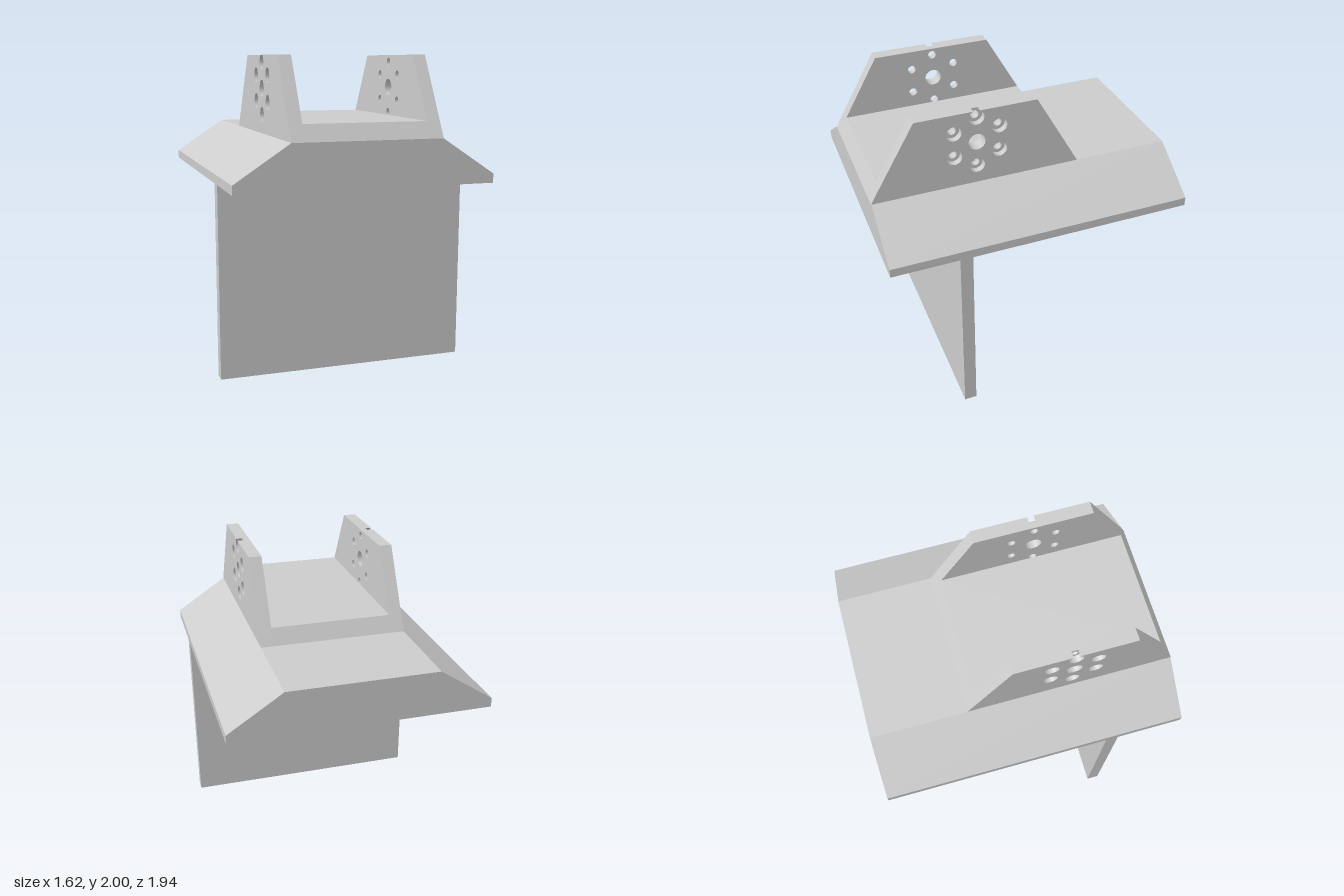
import * as THREE from 'three';

const material = new THREE.MeshStandardMaterial({ color: 0xcccccc, flatShading: true });

// Bracket side profile: front and back edges slope inwards towards the top
const BASE_Y = 1.51, FLOOR_Y = 1.61, TOP_Y = 2;
const frontZ = (y) => 0.97 - (y - BASE_Y) * (0.285 / 0.49);
const backZ = (y) => -0.355 + (y - BASE_Y) * (0.285 / 0.49);

// Bolt pattern
const HUB_Z = 0.308, HUB_Y = 1.793, HUB_R = 0.053, RING_R = 0.164;
const BOLT_R = 0.026, BORE_R = 0.0475;

// Extrude a (-z, y) outline along x, starting at x0
function extrudeX(shape, x0, width, name) {
  const geo = new THREE.ExtrudeGeometry(shape, { depth: width, bevelEnabled: false, curveSegments: 32 });
  geo.rotateY(Math.PI / 2).translate(x0, 0, 0);
  const mesh = new THREE.Mesh(geo, material);
  mesh.name = name;
  return mesh;
}

function addHole(shape, u, y, r) {
  shape.holes.push(new THREE.Path().absarc(u, y, r, 0, Math.PI * 2, true));
}

// One layer of a side cheek; holes reaching the top edge become open notches
function cheekShape(boltR) {
  const u = -HUB_Z;
  const shape = new THREE.Shape();
  shape.moveTo(-frontZ(BASE_Y), BASE_Y);
  shape.lineTo(-backZ(BASE_Y), BASE_Y);
  shape.lineTo(-backZ(TOP_Y), TOP_Y);
  const topHoleY = HUB_Y + RING_R;
  const notched = topHoleY + boltR > TOP_Y;
  if (notched) {
    const a = Math.asin((TOP_Y - topHoleY) / boltR);
    shape.absarc(u, topHoleY, boltR, a, Math.PI - a, true);
  }
  shape.lineTo(-frontZ(TOP_Y), TOP_Y);
  shape.closePath();
  addHole(shape, u, HUB_Y, HUB_R);
  for (let i = notched ? 1 : 0; i < 6; i++) {
    const t = Math.PI / 2 + (i * Math.PI) / 3;
    addHole(shape, u + RING_R * Math.cos(t), HUB_Y + RING_R * Math.sin(t), boltR);
  }
  return shape;
}

export function createModel() {
  const model = new THREE.Group();
  model.name = 'mountingBracket';

  // Upright plate under the deck
  const plate = new THREE.Mesh(new THREE.BoxGeometry(1.624, 1.228, 0.08), material);
  plate.position.set(0, 0.614, 0.505);
  plate.name = 'uprightPlate';
  model.add(plate);

  // Deck with sloped shoulders
  const deckShape = new THREE.Shape([
    [-0.812, 1.228], [0.812, 1.228], [0.812, 1.285],
    [0.47, BASE_Y], [-0.47, BASE_Y], [-0.812, 1.285],
  ].map(([x, y]) => new THREE.Vector2(x, y)));
  const deckGeo = new THREE.ExtrudeGeometry(deckShape, { depth: 1.936, bevelEnabled: false });
  const deck = new THREE.Mesh(deckGeo.translate(0, 0, -0.968), material);
  deck.name = 'deck';
  model.add(deck);

  // Cradle floor between the cheeks
  const floorShape = new THREE.Shape([
    [-frontZ(BASE_Y), BASE_Y], [-backZ(BASE_Y), BASE_Y],
    [-backZ(FLOOR_Y), FLOOR_Y], [-frontZ(FLOOR_Y), FLOOR_Y],
  ].map(([u, y]) => new THREE.Vector2(u, y)));
  model.add(extrudeX(floorShape, -0.388, 0.776, 'cradleFloor'));

  // Cheeks: wide counterbores outside, narrow bolt holes inside
  for (const [side, s] of [['left', 1], ['right', -1]]) {
    const cheek = new THREE.Group();
    cheek.name = side + 'Cheek';
    const layer = 0.041;
    cheek.add(extrudeX(cheekShape(BOLT_R), s > 0 ? 0.388 : -0.388 - layer, layer, 'boltHoleLayer'));
    cheek.add(extrudeX(cheekShape(BORE_R), s > 0 ? 0.388 + layer : -0.47, layer, 'counterboreLayer'));
    model.add(cheek);
  }
  return model;
}
